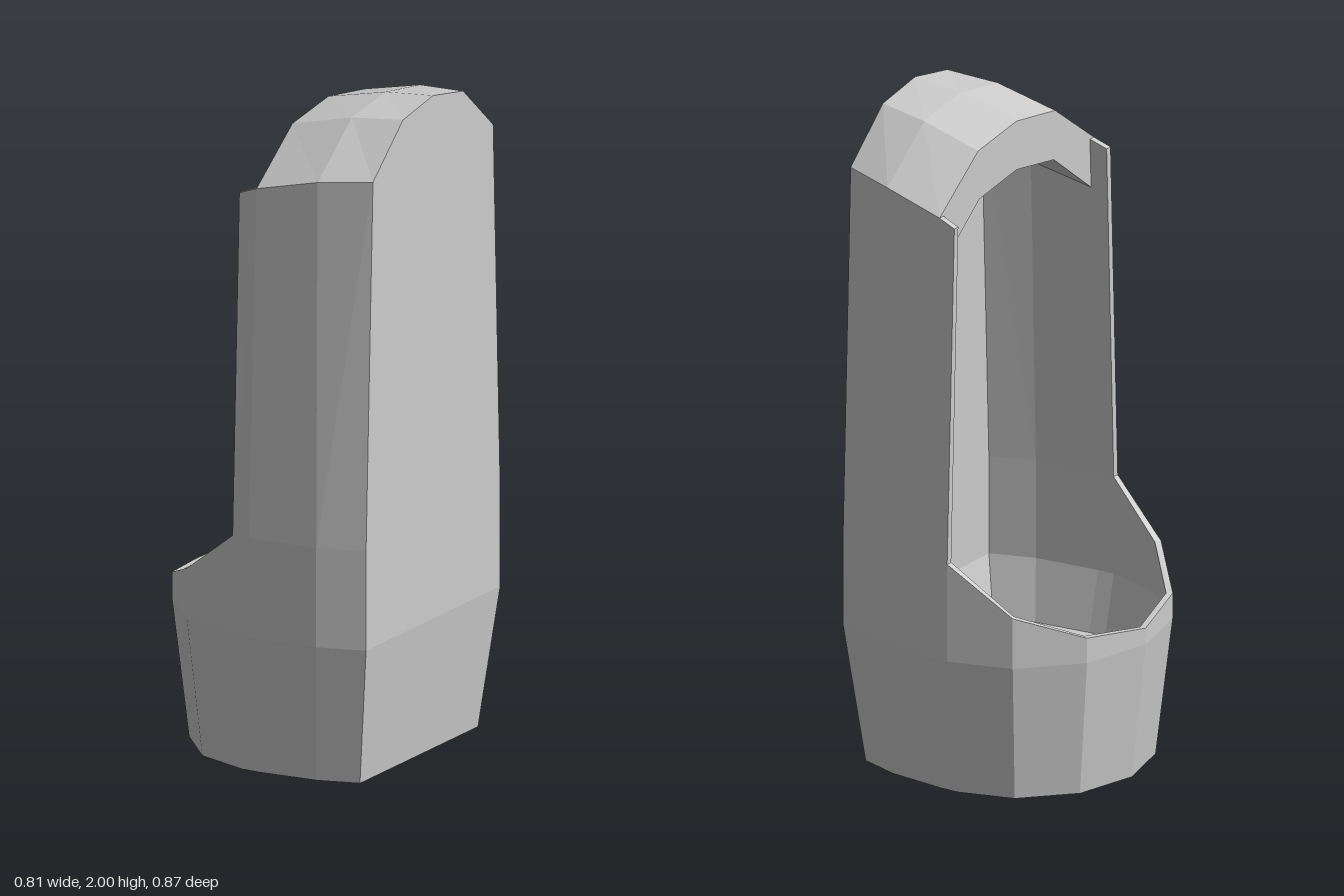
import * as THREE from 'three';

const porcelain = new THREE.MeshStandardMaterial({ color: 0xcccccc, side: THREE.DoubleSide, flatShading: true });
porcelain.name = 'pale grey porcelain';

// Half outline of the plan from the bowl front (-x) round to the flat back (+x)
const plan = [[-0.405, 0], [-0.35, 0.22], [-0.2, 0.38], [-0.01, 0.437], [0.045, 0.437], [0.26, 0.415], [0.4, 0.368]];
const headZ = [0, 0, 0, 0.4, 0.395, 0.375, 0.33];
const headX = [0, 0, 0, -0.01, 0.045, 0.24, 0.4];
const rimY = [0.47, 0.497, 0.575, 0.72, 0.72, 0.72, 0.72];
const headY = [0, 0, 0, 1.745, 1.765, 1.81, 1.825];
const ridgeY = [0, 0, 0, 0, 1.94, 1.985, 2.0];
const shoulderY = [0, 0, 0, 0, 1.91, 1.957, 1.97];

// Columns run from one back corner round the front to the other
const range = (a, b) => Array.from({ length: b - a + 1 }, (_, k) => a + k);
const allColumns = range(-6, 6);

const sized = (i, s) => [plan[i][0] * (i === 3 || i === 4 ? 1 : s), plan[i][1] * s];

// Points of one column, from bottom to top
function outerPoint(col, row) {
  const i = Math.abs(col), m = col < 0 ? -1 : 1;
  if (row === 3) return [headX[i], headY[i], m * headZ[i]];
  const [x, z] = sized(i, row === 0 ? 0.88 : 1);
  return [x, [0, 0.42, rimY[i]][row], m * z];
}

function innerPoint(col, row) {
  const i = Math.abs(col), m = col < 0 ? -1 : 1;
  if (row === 3) return [i === 6 ? 0.38 : headX[i], headY[i], m * (headZ[i] - 0.02)];
  const [x, z] = sized(i, row === 0 ? 0.855 : 0.953);
  return [x, [0.24, 0.42, rimY[i]][row], m * z];
}

// Flat-shaded surface through a grid of points
function surface(rows) {
  const pos = [];
  for (let r = 0; r < rows.length - 1; r++) {
    for (let c = 0; c < rows[r].length - 1; c++) {
      const a = rows[r][c], b = rows[r][c + 1], d = rows[r + 1][c], e = rows[r + 1][c + 1];
      pos.push(...a, ...b, ...e, ...a, ...e, ...d);
    }
  }
  const g = new THREE.BufferGeometry();
  g.setAttribute('position', new THREE.Float32BufferAttribute(pos, 3));
  g.computeVertexNormals();
  return g;
}

// Arch across the hood at one station; drop lowers it, inset narrows it
function arch(i, drop = 0, inset = 0, x = headX[i]) {
  const z = headZ[i] - inset;
  return [[-z, headY[i]], [-z / 2, shoulderY[i]], [0, ridgeY[i]], [z / 2, shoulderY[i]], [z, headY[i]]]
    .map(([pz, y]) => [x, y - drop, pz]);
}

export function createModel() {
  const group = new THREE.Group();
  group.name = 'urinal';
  const add = (name, geometry) => {
    const mesh = new THREE.Mesh(geometry, porcelain);
    mesh.name = name;
    group.add(mesh);
    return mesh;
  };

  // Bowl and side walls, outside and inside
  for (const [label, point] of [['outer', outerPoint], ['inner', innerPoint]]) {
    add(label + 'Bowl', surface([0, 1, 2].map(r => allColumns.map(c => point(c, r)))));
    for (const [side, cols] of [['right', range(-6, -3)], ['left', range(3, 6)]]) {
      add(label + side + 'Wall', surface([2, 3].map(r => cols.map(c => point(c, r)))));
    }
    // Flat back below the hood
    add(label + 'Back', surface([0, 1, 2, 3].map(r => [point(6, r), point(-6, r)])));
  }

  // Rim joining the inner and outer bowl
  add('bowlRim', surface([outerPoint, innerPoint].map(p => range(-3, 3).map(c => p(c, 2)))));

  // Front and top edges of the side walls
  for (const m of [-1, 1]) {
    add('wallFrontEdge', surface([outerPoint, innerPoint].map(p => [p(3 * m, 2), p(3 * m, 3)])));
    add('wallTopEdge', surface([outerPoint, innerPoint].map(p => [p(3 * m, 3), p(4 * m, 3)])));
  }

  // Faceted hood, its ceiling and the deep front lip
  add('hood', surface([4, 5, 6].map(i => arch(i))));
  add('hoodCeiling', surface([arch(4, 0.15, 0.015), arch(5, 0.15, 0.015), arch(6, 0.15, 0.015, 0.38)]));
  add('hoodLip', surface([arch(4), arch(4, 0.15, 0.015)]));

  // Top of the flat back under the hood
  const base = arch(6).map(([x, , z]) => [x, headY[6], z]);
  add('backTop', surface([base, arch(6)]));

  // Bowl floor sloping gently to the drain, and its underside
  const floorEdge = [...allColumns, -6].map(c => innerPoint(c, 0));
  add('bowlFloor', surface([floorEdge, floorEdge.map(() => [0, 0.228, 0])]));
  const underEdge = [...allColumns, -6].map(c => {
    const [x, , z] = outerPoint(c, 0);
    return [x * 1.07, 0.236, z * 1.07];
  });
  add('bowlUnderside', surface([underEdge, underEdge.map(() => [0, 0.222, 0])]));

  // Low domed drain cover
  const profile = [[0, -0.03], [0.085, -0.022], [0.132, 0], [0.085, 0.03], [0, 0.045]]
    .map(([r, y]) => new THREE.Vector2(r, y));
  const drain = add('drainCover', new THREE.LatheGeometry(profile, 9, Math.PI / 2));
  drain.position.set(-0.005, 0.235, 0);

  return group;
}
